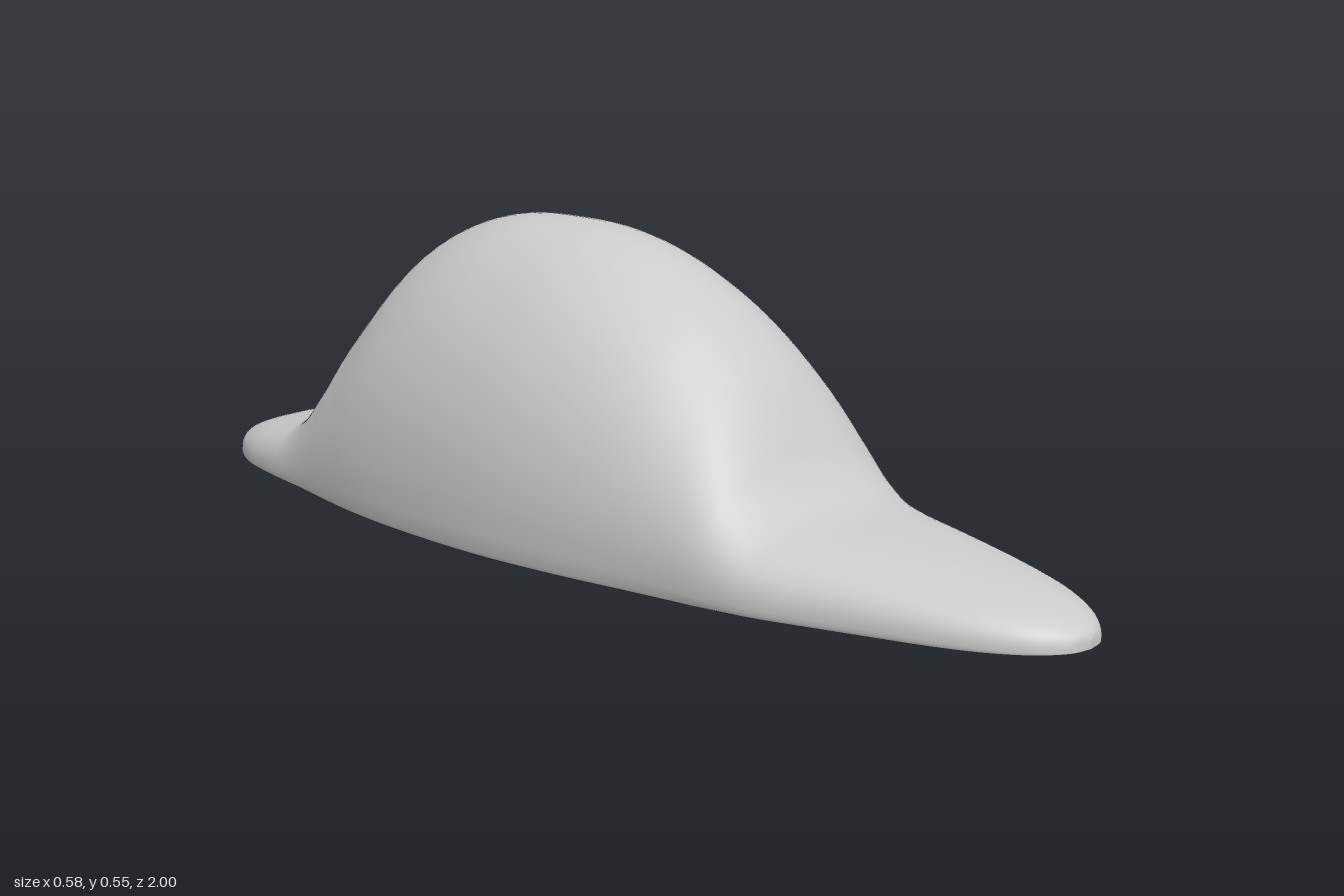
import * as THREE from 'three';

// Stations along the length: z, height of the crown line, half width
const STATIONS = [
  [1, 0.02, 0], [0.99, 0.035, 0.042], [0.95, 0.056, 0.09], [0.88, 0.076, 0.133],
  [0.8, 0.091, 0.163], [0.7, 0.107, 0.19], [0.6, 0.12, 0.215], [0.5, 0.133, 0.24],
  [0.45, 0.15, 0.249], [0.4, 0.198, 0.255], [0.36, 0.26, 0.259], [0.3, 0.345, 0.263],
  [0.2, 0.435, 0.271], [0.1, 0.492, 0.28], [0, 0.53, 0.286], [-0.1, 0.549, 0.288],
  [-0.2, 0.551, 0.284], [-0.3, 0.544, 0.275], [-0.4, 0.515, 0.262], [-0.5, 0.455, 0.243],
  [-0.6, 0.34, 0.217], [-0.65, 0.245, 0.203], [-0.7, 0.16, 0.19], [-0.75, 0.116, 0.177],
  [-0.8, 0.1, 0.163], [-0.88, 0.079, 0.135], [-0.95, 0.055, 0.09], [-0.99, 0.035, 0.042],
  [-1, 0.02, 0],
];
const ARC = 48;

// The underside is tilted very slightly across the width
const baseY = (x) => 0.004 + 0.015 * x;

// One cross-section: rounded lower edge, then an arch leaning a little to +x
function section({ x: z, y: h, z: w }) {
  const centre = 0.145 * h;
  const dome = THREE.MathUtils.smoothstep(h, 0.12, 0.4);
  const power = THREE.MathUtils.lerp(0.82, 1, dome);
  const edge = (side) => [[0.965, 0], [0.985, 0.12], [0.995, 0.5]].map(([k, t]) => {
    const x = side * w * k;
    return [x, THREE.MathUtils.lerp(baseY(x), Math.max(centre, baseY(x)), t), z];
  });
  const points = edge(1);
  for (let j = 0; j <= ARC; j++) {
    const a = (j / ARC) * Math.PI;
    const s = Math.sin(a) ** power;
    const c = Math.sign(Math.cos(a)) * Math.abs(Math.cos(a)) ** power;
    const x = w * c + 0.034 * dome * s * s;
    points.push([x, Math.max(centre + (h - centre) * s, baseY(x)), z]);
  }
  return points.concat(edge(-1).reverse());
}

// Skin a list of equal-length rows running from +z to -z
function loft(rows, flip) {
  const n = rows[0].length;
  const index = [];
  for (let i = 0; i < rows.length - 1; i++) {
    for (let j = 0; j < n - 1; j++) {
      const a = i * n + j, b = a + 1, c = a + n, d = c + 1;
      if (flip) index.push(a, b, c, b, d, c);
      else index.push(a, c, b, b, c, d);
    }
  }
  const geometry = new THREE.BufferGeometry();
  geometry.setAttribute('position', new THREE.Float32BufferAttribute(rows.flat(2), 3));
  geometry.setIndex(index);
  geometry.computeVertexNormals();
  return geometry;
}

export function createModel() {
  const group = new THREE.Group();
  const material = new THREE.MeshStandardMaterial({ color: 0xcccccc });
  const curve = new THREE.CatmullRomCurve3(STATIONS.map((s) => new THREE.Vector3(...s)));
  const rows = curve.getPoints((STATIONS.length - 1) * 5).map(section);

  // Dome flowing into the front and back brims
  const shell = new THREE.Mesh(loft(rows, false), material);
  shell.name = 'domeAndBrim';

  // Flat underside
  const underside = new THREE.Mesh(loft(rows.map((r) => [r[0], r[r.length - 1]]), true), material);
  underside.name = 'underside';

  group.add(shell, underside);
  return group;
}
